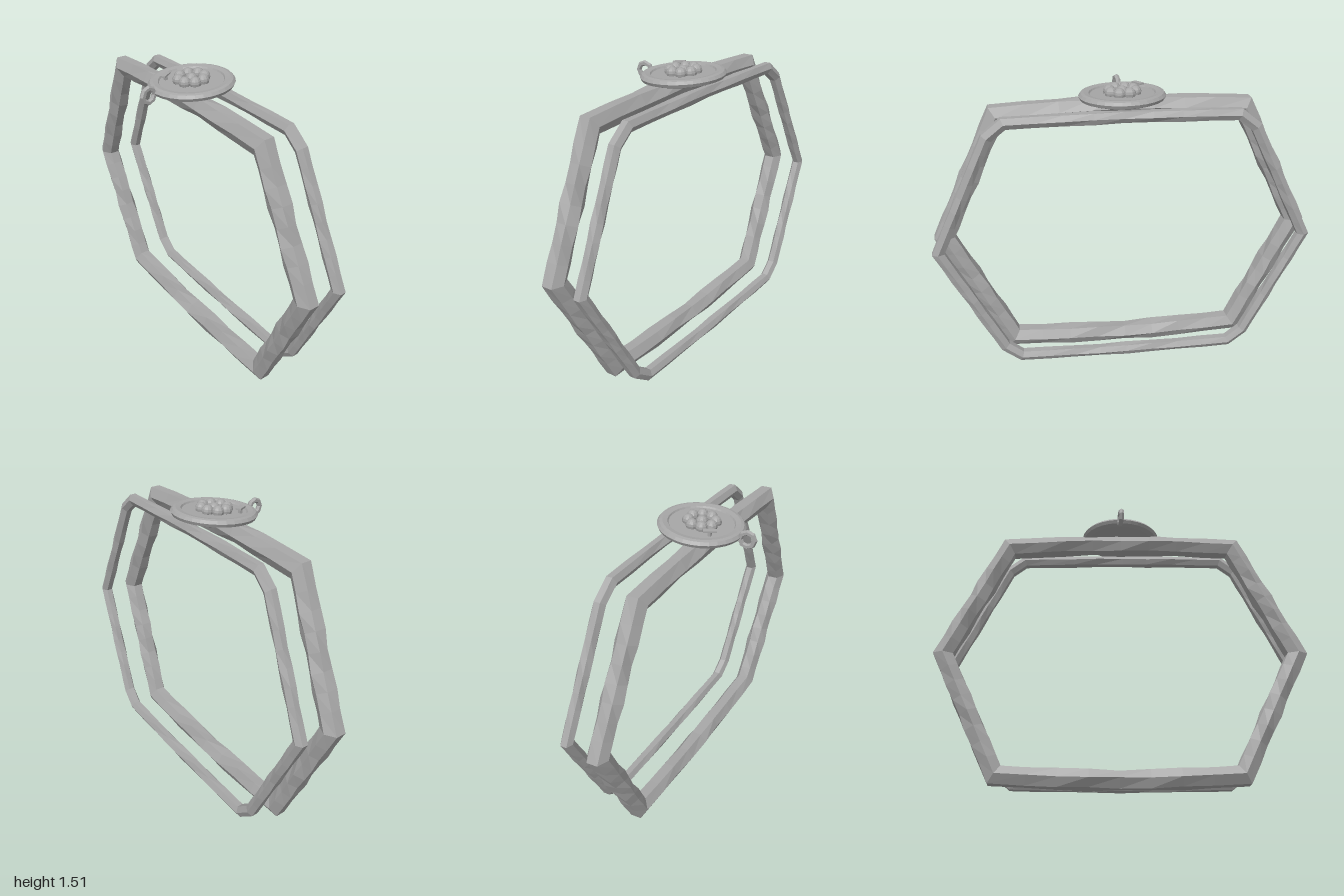
import * as THREE from 'three';

const metal = new THREE.MeshStandardMaterial({ color: 0xa6a6a6, flatShading: true });
metal.name = 'grey metal';

function part(name, geometry, parent, x = 0, y = 0, z = 0) {
  const mesh = new THREE.Mesh(geometry, metal);
  mesh.name = name;
  mesh.position.set(x, y, z);
  parent.add(mesh);
  return mesh;
}

// Hexagonal bar swept round a closed, mitred outline and leaned in depth.
function bandGeometry({ corners, radius, bow, wobble, cx, z0 }) {
  const sides = 6, path = [];
  corners.forEach(([x, y], k) => {
    const [nx, ny] = corners[(k + 1) % corners.length];
    const length = Math.hypot(nx - x, ny - y);
    const steps = length > 0.3 ? 8 : 1;
    const horizontal = Math.abs(ny - y) < 0.01;
    for (let s = 0; s < steps; s++) {
      const t = s / steps;
      const lift = horizontal ? Math.sign(y - 0.735) * bow * Math.sin(Math.PI * t) : 0;
      path.push({ x: x + (nx - x) * t, y: y + (ny - y) * t + lift, t, k });
    }
  });
  const n = path.length, rings = [];
  path.forEach((p, i) => {
    const a = path[(i + n - 1) % n], b = path[(i + 1) % n];
    const d1 = new THREE.Vector2(p.x - a.x, p.y - a.y).normalize();
    const d2 = new THREE.Vector2(b.x - p.x, b.y - p.y).normalize();
    const tangent = d1.clone().add(d2).normalize();
    const mitre = 1 / tangent.dot(d1);
    const ring = [];
    for (let j = 0; j < sides; j++) {
      const angle = (j + 0.5) / sides * Math.PI * 2;
      // hand-worked ripples fade out at the corners
      const ripple = 1 + wobble * Math.sin(Math.PI * p.t) * Math.sin(p.t * Math.PI * 5 + j * 2 + p.k * 1.3);
      const out = Math.cos(angle) * radius * ripple * mitre;
      const x = p.x + tangent.y * out + cx, y = p.y - tangent.x * out;
      ring.push([x, y, z0 + 0.085 * p.x + 0.052 * (p.y - 0.735) + Math.sin(angle) * radius * ripple]);
    }
    rings.push(ring);
  });
  const positions = [];
  for (let i = 0; i < n; i++) {
    for (let j = 0; j < sides; j++) {
      const i2 = (i + 1) % n, j2 = (j + 1) % sides;
      const a = rings[i][j], b = rings[i2][j], c = rings[i2][j2], d = rings[i][j2];
      positions.push(...a, ...b, ...c, ...a, ...c, ...d);
    }
  }
  const geometry = new THREE.BufferGeometry();
  geometry.setAttribute('position', new THREE.Float32BufferAttribute(positions, 3));
  geometry.computeVertexNormals();
  return geometry;
}

export function createModel() {
  const model = new THREE.Group();
  model.name = 'bangle pair';

  // Thick front band with sharp corners
  part('frontBand', bandGeometry({
    corners: [[0.94, 0.735], [0.625, 1.382], [-0.625, 1.382], [-0.94, 0.735], [-0.625, 0.085], [0.625, 0.085]],
    radius: 0.055, bow: 0.022, wobble: 0.11, cx: -0.003, z0: 0.01,
  }), model);

  // Thin back band with clipped upper and lower corners
  part('backBand', bandGeometry({
    corners: [[0.945, 0.735], [0.655, 1.335], [0.57, 1.402], [-0.57, 1.402], [-0.655, 1.335],
      [-0.945, 0.735], [-0.655, 0.15], [-0.57, 0.082], [0.57, 0.082], [0.655, 0.15]],
    radius: 0.032, bow: 0.008, wobble: 0.1, cx: 0.022, z0: -0.167,
  }), model);

  // Round charm resting on the front band
  const charm = new THREE.Group();
  charm.name = 'charm';
  charm.position.set(0, 1.47, 0.005);
  charm.rotation.x = 0.07;
  model.add(charm);

  const profile = [[0, -0.02], [0.185, -0.02], [0.208, -0.012], [0.216, 0.004], [0.205, 0.018],
    [0.19, 0.022], [0.165, 0.018], [0.16, 0.01], [0, 0.01]];
  part('charmDisc', new THREE.LatheGeometry(profile.map(([r, y]) => new THREE.Vector2(r, y)), 32), charm);

  // Flower of beads
  const flower = new THREE.Group();
  flower.name = 'flower';
  flower.position.y = 0.022;
  charm.add(flower);
  for (let i = 0; i < 8; i++) {
    const a = (i + 0.5) / 8 * Math.PI * 2;
    part('petal', new THREE.SphereGeometry(0.03, 10, 8), flower, Math.cos(a) * 0.066, 0, Math.sin(a) * 0.066);
  }
  part('flowerCentre', new THREE.SphereGeometry(0.03, 10, 8), flower, 0, -0.004, 0);

  // Small raised tab beside the flower
  const tab = part('tab', new THREE.BoxGeometry(0.027, 0.008, 0.065), charm, -0.098, 0.036, 0.085);
  tab.rotation.y = 0.5;
  part('tabPost', new THREE.BoxGeometry(0.015, 0.026, 0.015), charm, -0.098, 0.021, 0.085);

  // Hanging loop at the front
  const loop = part('hangingLoop', new THREE.TorusGeometry(0.036, 0.014, 6, 8), model, -0.02, 1.452, 0.25);
  loop.rotation.y = Math.PI / 2 + 0.08;

  return model;
}
